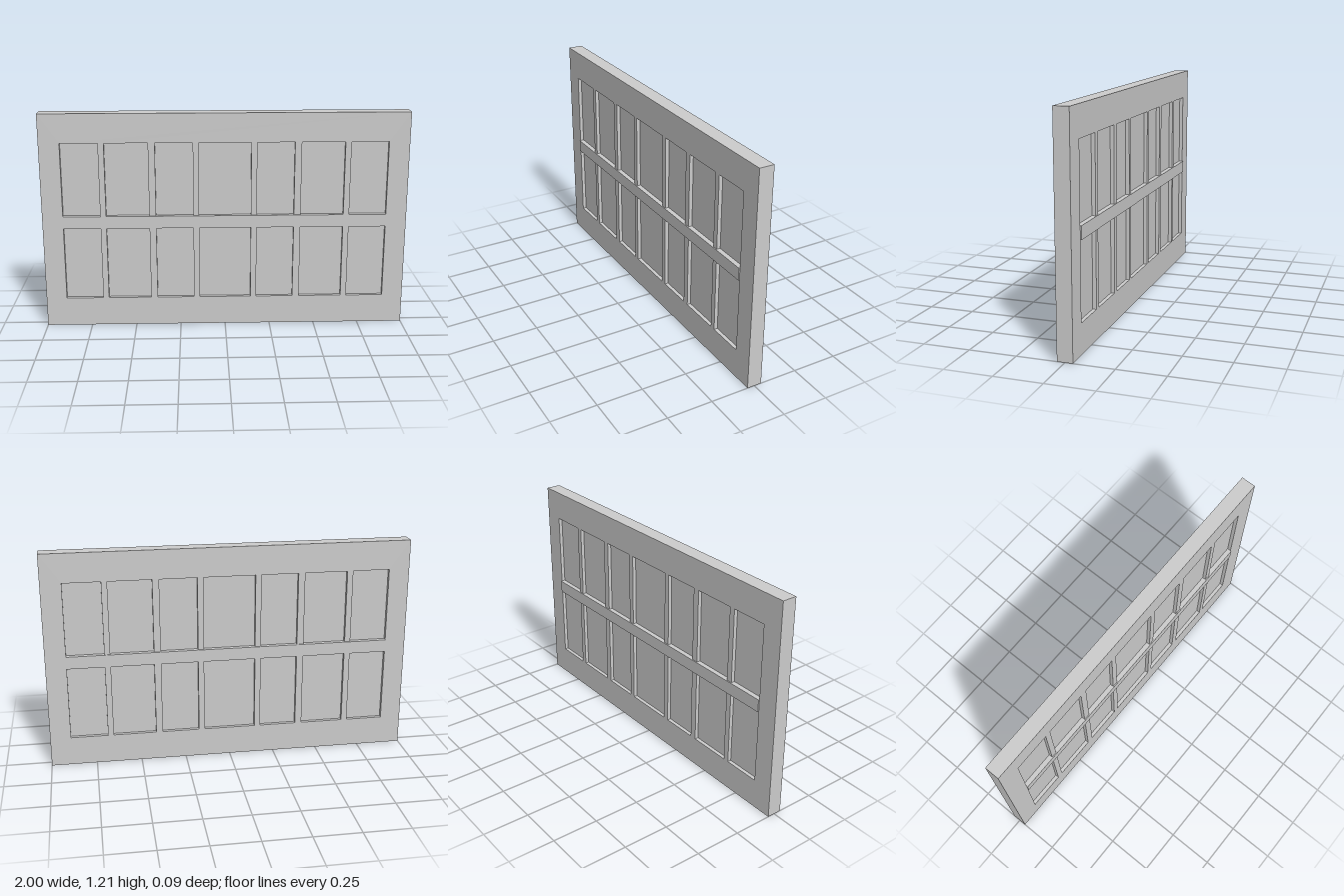
import * as THREE from 'three';

export function createModel() {
  const group = new THREE.Group();
  group.name = 'panelledBoard';
  const grey = new THREE.MeshStandardMaterial({ color: 0xcccccc });
  grey.name = 'lightGrey';

  const W = 2, H = 1.205, D = 0.081;
  const recess = 0.02;
  // Pane spans left of and across the middle; the rest are mirrored
  const half = [[-0.887, -0.683], [-0.651, -0.415], [-0.378, -0.174]];
  const columns = [...half, [-0.142, 0.142], ...half.map(([a, b]) => [-b, -a])];
  const rows = [[0.161, 0.568], [0.637, 1.044]];

  const rectangle = (path, x0, y0, x1, y1) => {
    path.moveTo(x0, y0);
    path.lineTo(x1, y0);
    path.lineTo(x1, y1);
    path.lineTo(x0, y1);
    path.closePath();
    return path;
  };

  const add = (name, geometry, y = 0) => {
    const mesh = new THREE.Mesh(geometry, grey);
    mesh.name = name;
    mesh.position.y = y;
    group.add(mesh);
  };

  // Frame and mullions, cut through by every pane opening
  const outline = rectangle(new THREE.Shape(), -W / 2, 0, W / 2, H);
  for (const [y0, y1] of rows) {
    for (const [x0, x1] of columns) {
      outline.holes.push(rectangle(new THREE.Path(), x0, y0, x1, y1));
    }
  }
  const frame = new THREE.ExtrudeGeometry(outline, { depth: D, bevelEnabled: false });
  frame.translate(0, 0, -D / 2);
  add('frame', frame);

  // Recessed panes, closing the openings on both faces
  for (const [y0, y1] of rows) {
    for (const [x0, x1] of columns) {
      const pane = new THREE.BoxGeometry(x1 - x0, y1 - y0, D - 2 * recess);
      pane.translate((x0 + x1) / 2, 0, 0);
      add('pane', pane, (y0 + y1) / 2);
    }
  }

  // Middle rail, standing slightly proud of both faces
  add('middleRail', new THREE.BoxGeometry(1.774, rows[1][0] - rows[0][1], 0.093),
    (rows[0][1] + rows[1][0]) / 2);

  return group;
}
